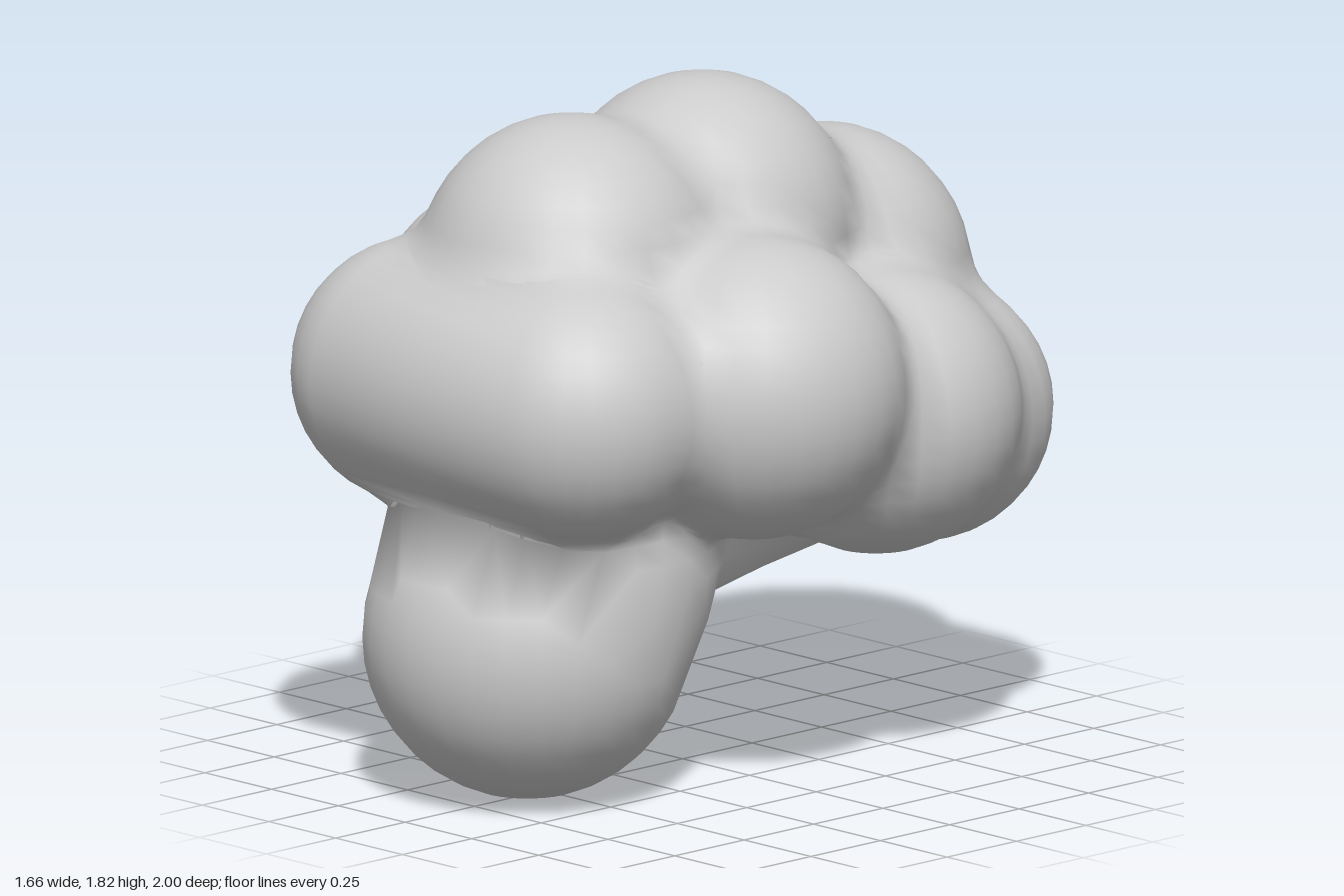
import * as THREE from 'three';

const V = (x, y, z) => new THREE.Vector3(x, y, z);

// Each lobe is a sphere swept from a to b (equal ends give a plain sphere)
const lobes = [];
const addLobe = (name, r, a, b = a) => lobes.push({ name, r, a: V(...a), b: V(...b) });

addLobe('frontLobe', 0.35, [-0.29, 1.1, 0.65], [0.29, 1.1, 0.65]);
addLobe('topFrontLobe', 0.4, [0, 1.385, 0.4]);
addLobe('topMiddleLobe', 0.4, [0, 1.42, -0.07]);
addLobe('topBackLobe', 0.39, [0, 1.22, -0.5]);
addLobe('backLobe', 0.35, [-0.21, 0.87, -0.65], [0.21, 0.87, -0.65]);
for (const [side, s] of [['left', 1], ['right', -1]]) {
  addLobe(side + 'MiddleLobe', 0.4, [s * 0.43, 1.1, 0.16]);
  addLobe(side + 'BackLobe', 0.38, [s * 0.38, 0.95, -0.33]);
}
addLobe('stem', 0.43, [0, 0.43, 0.56], [0, 0.6, 0.47]);
addLobe('underside', 0.28, [0, 0.74, 0.12], [0, 0.84, -0.4]);

// Distance to one lobe
const nearest = V(0, 0, 0), line = new THREE.Line3();
function lobeDistance(p, { a, b, r }) {
  if (a.equals(b)) return p.distanceTo(a) - r;
  line.set(a, b).closestPointToPoint(p, true, nearest);
  return p.distanceTo(nearest) - r;
}

// Distance to all lobes, with softened creases where they meet
const BLEND = 0.09;
function bodyDistance(p) {
  let d = Infinity;
  for (const lobe of lobes) {
    const e = lobeDistance(p, lobe);
    const h = Math.max(BLEND - Math.abs(d - e), 0);
    d = Math.min(d, e) - (h * h) / (4 * BLEND);
  }
  return d;
}

function bodyNormal(p) {
  const e = 0.004, n = V(0, 0, 0);
  for (const axis of ['x', 'y', 'z']) {
    const q = p.clone();
    q[axis] += e;
    n[axis] = bodyDistance(q);
    q[axis] -= 2 * e;
    n[axis] -= bodyDistance(q);
  }
  return n.normalize();
}

// A rounded lobe whose visible skin flows into its neighbours
function lobeGeometry({ a, b, r }) {
  const geometry = new THREE.SphereGeometry(1, 28, 20);
  const pos = geometry.attributes.position, nor = geometry.attributes.normal;
  const axis = b.clone().sub(a).multiplyScalar(0.5);
  const centre = a.clone().add(b).multiplyScalar(0.5);
  for (let i = 0; i < pos.count; i++) {
    const dir = V(0, 0, 0).fromBufferAttribute(pos, i);
    const along = dir.dot(axis);
    const p = dir.clone().multiplyScalar(r).add(centre);
    if (Math.abs(along) > 1e-6) p.addScaledVector(axis, Math.sign(along));
    if (bodyDistance(p) > -0.09) {
      for (let k = 0; k < 4; k++) p.addScaledVector(bodyNormal(p), -bodyDistance(p));
    }
    const n = bodyNormal(p);
    pos.setXYZ(i, p.x, p.y, p.z);
    nor.setXYZ(i, n.x, n.y, n.z);
  }
  return geometry;
}

export function createModel() {
  const group = new THREE.Group();
  group.name = 'puffyCloud';
  const material = new THREE.MeshStandardMaterial({ color: 0xcccccc });
  for (const lobe of lobes) {
    const mesh = new THREE.Mesh(lobeGeometry(lobe), material);
    mesh.name = lobe.name;
    group.add(mesh);
  }
  return group;
}
